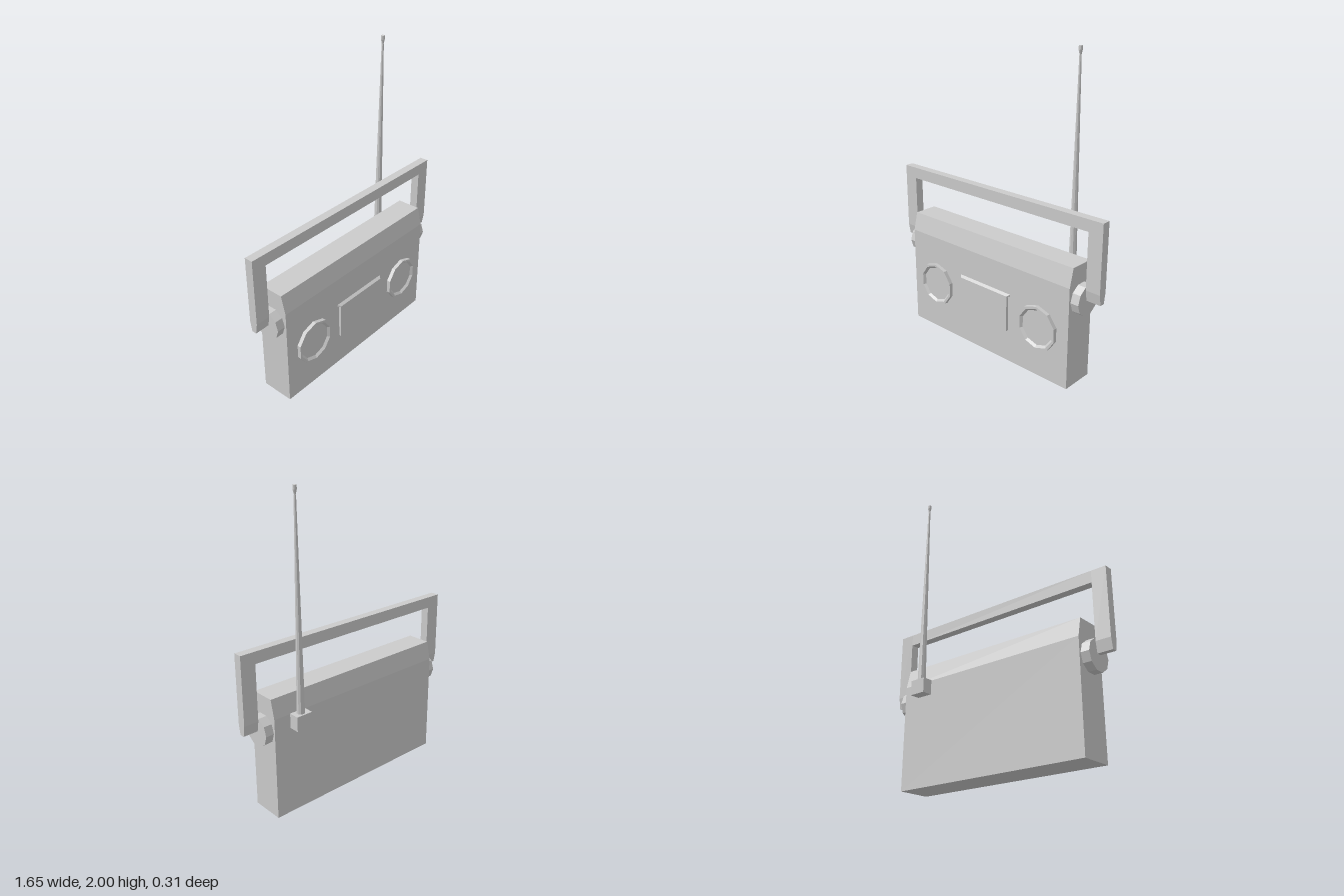
import * as THREE from 'three';

const material = new THREE.MeshStandardMaterial({ color: 0xcccccc, flatShading: true });

function add(parent, name, geometry, x = 0, y = 0, z = 0) {
  const mesh = new THREE.Mesh(geometry, material);
  mesh.name = name;
  mesh.position.set(x, y, z);
  parent.add(mesh);
  return mesh;
}

// Side profile of [z, y] points, extruded along x and centred on x = 0
function extrudeAlongX(profile, width) {
  const shape = new THREE.Shape(profile.map(([z, y]) => new THREE.Vector2(z, y)));
  return new THREE.ExtrudeGeometry(shape, { depth: width, bevelEnabled: false })
    .translate(0, 0, -width / 2)
    .rotateY(-Math.PI / 2);
}

// Faceted turned part from [radius, height] points
function turned(profile, sides) {
  return new THREE.LatheGeometry(profile.map(([r, h]) => new THREE.Vector2(r, h)), sides);
}

// Wedge-shaped lip that flares from the front of the panel to the body
function flaredLip() {
  const g = new THREE.BoxGeometry(0.4, 0.018, 0.02);
  const p = g.attributes.position;
  for (let i = 0; i < p.count; i++) {
    if (p.getZ(i) < 0) {
      p.setX(i, Math.sign(p.getX(i)) * 0.217);
    } else if (p.getY(i) > 0) {
      p.setY(i, -0.004);
    }
  }
  g.computeVertexNormals();
  return g;
}

export function createModel() {
  const radio = new THREE.Group();
  radio.name = 'portableRadio';

  // Case with sloped shoulders
  add(radio, 'case', extrudeAlongX(
    [[0.13, 0], [0.13, 0.67], [0.1, 0.79], [-0.06, 0.79], [-0.088, 0.67], [-0.088, 0]], 1.34));

  // Cassette door
  const door = new THREE.Group();
  door.name = 'cassetteDoor';
  add(door, 'doorPanel', new THREE.BoxGeometry(0.4, 0.24, 0.03), 0, 0.34, 0.132);
  add(door, 'doorLip', flaredLip(), 0, 0.468, 0.138);
  radio.add(door);

  // Carrying handle
  const handle = new THREE.Group();
  handle.name = 'handle';
  add(handle, 'handleBar', new THREE.BoxGeometry(1.45, 0.075, 0.056), 0, 1.05, 0.022);
  radio.add(handle);

  const legProfile = [[0.05, 1.0875], [-0.006, 1.0875], [-0.006, 0.65],
    [0.006, 0.58], [0.038, 0.58], [0.05, 0.65]];

  for (const [side, s] of [['left', 1], ['right', -1]]) {
    add(handle, side + 'HandleLeg', extrudeAlongX(legProfile, 0.098), s * 0.774, 0, 0);

    // Ten-sided pivot between case and handle
    const pivot = new THREE.CylinderGeometry(0.098, 0.098, 0.065, 10).rotateZ(Math.PI / 2);
    add(radio, side + 'HandlePivot', pivot, s * 0.6925, 0.575, 0.02);

    // Speaker rim with sunken face
    const speaker = turned(
      [[0.148, 0], [0.148, 0.025], [0.132, 0.025], [0.118, 0.01], [0, 0.01]], 10)
      .rotateX(Math.PI / 2);
    add(radio, side + 'Speaker', speaker, s * 0.443, 0.336, 0.13);
  }

  // Telescopic aerial on the back
  const aerial = new THREE.Group();
  aerial.name = 'aerial';
  add(aerial, 'aerialMount', new THREE.BoxGeometry(0.11, 0.095, 0.075), 0.5, 0.625, -0.1185);
  add(aerial, 'aerialRod', turned([[0.026, 0.67], [0.007, 1.95]], 10), 0.5, 0, -0.12);
  add(aerial, 'aerialTip',
    turned([[0, 1.95], [0.006, 1.95], [0.012, 1.975], [0.012, 2], [0, 2]], 10), 0.5, 0, -0.12);
  radio.add(aerial);

  return radio;
}
